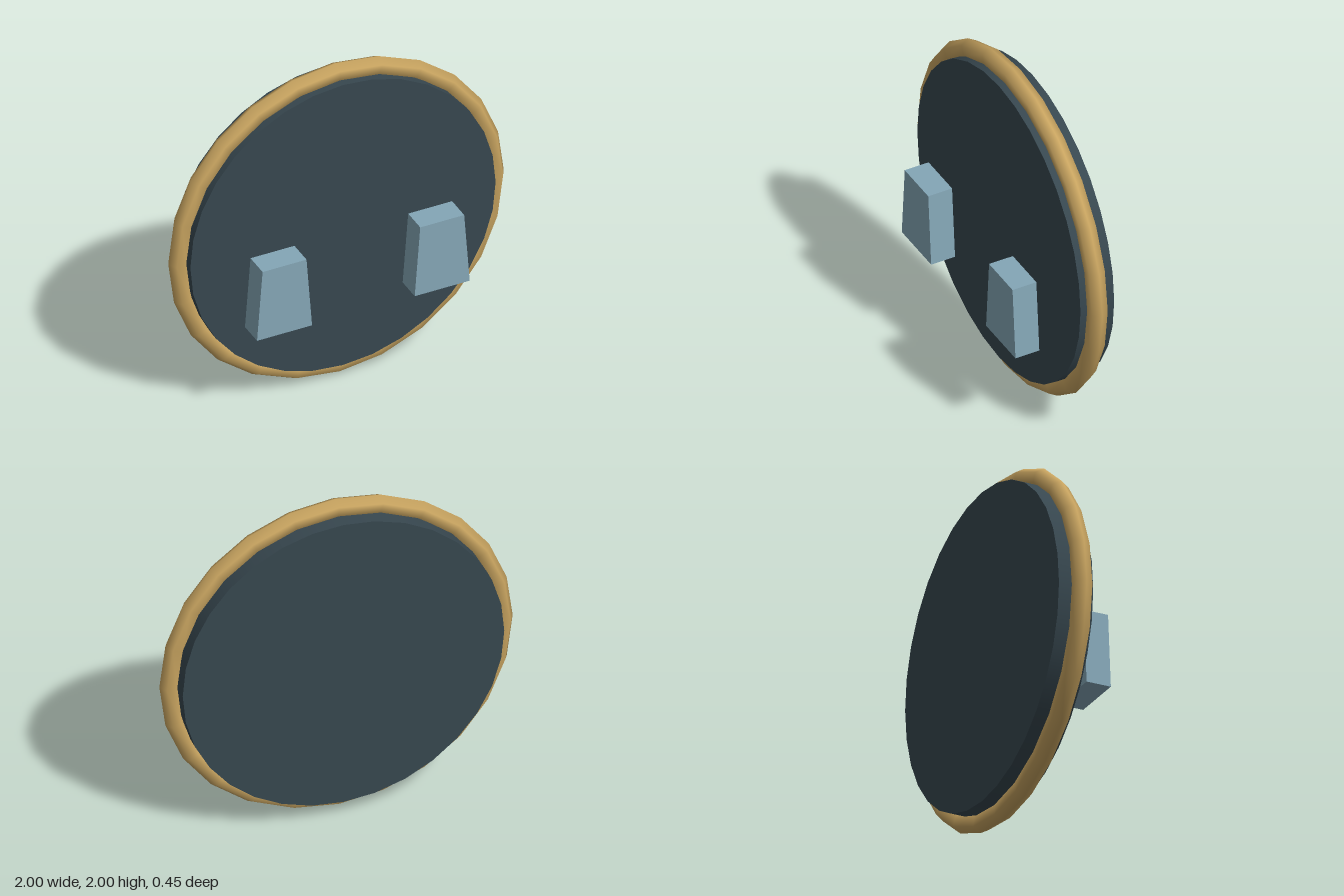
import * as THREE from 'three';

const slate = new THREE.MeshStandardMaterial({ color: 0x37474f });
slate.name = 'slate';
const gold = new THREE.MeshStandardMaterial({ color: 0xc8a460 });
gold.name = 'gold';
const paleBlue = new THREE.MeshStandardMaterial({ color: 0x84a6b6 });
paleBlue.name = 'paleBlue';

// Upright block, wider at the bottom than at the top
function taperedBlock(bottom, top, height, depth) {
  const shape = new THREE.Shape();
  shape.moveTo(-bottom / 2, 0);
  shape.lineTo(bottom / 2, 0);
  shape.lineTo(top / 2, height);
  shape.lineTo(-top / 2, height);
  shape.closePath();
  return new THREE.ExtrudeGeometry(shape, { depth, bevelEnabled: false });
}

export function createModel() {
  const model = new THREE.Group();
  const add = (name, geometry, material, x, y, z) => {
    const mesh = new THREE.Mesh(geometry, material);
    mesh.name = name;
    mesh.position.set(x, y, z);
    model.add(mesh);
    return mesh;
  };

  // Round plate standing on edge
  const disc = new THREE.CylinderGeometry(0.91, 0.91, 0.205, 32).rotateX(Math.PI / 2);
  add('disc', disc, slate, 0, 1, -0.1225);

  // Six-sided ring around the plate
  add('rim', new THREE.TorusGeometry(0.945, 0.055, 6, 24), gold, 0, 1, -0.104);

  // Pair of blocks floating in front
  const block = taperedBlock(0.328, 0.262, 0.437, 0.145);
  for (const [name, side] of [['leftBlock', 1], ['rightBlock', -1]]) {
    add(name, block, paleBlue, side * 0.47, 0.595, 0.08);
  }

  return model;
}
